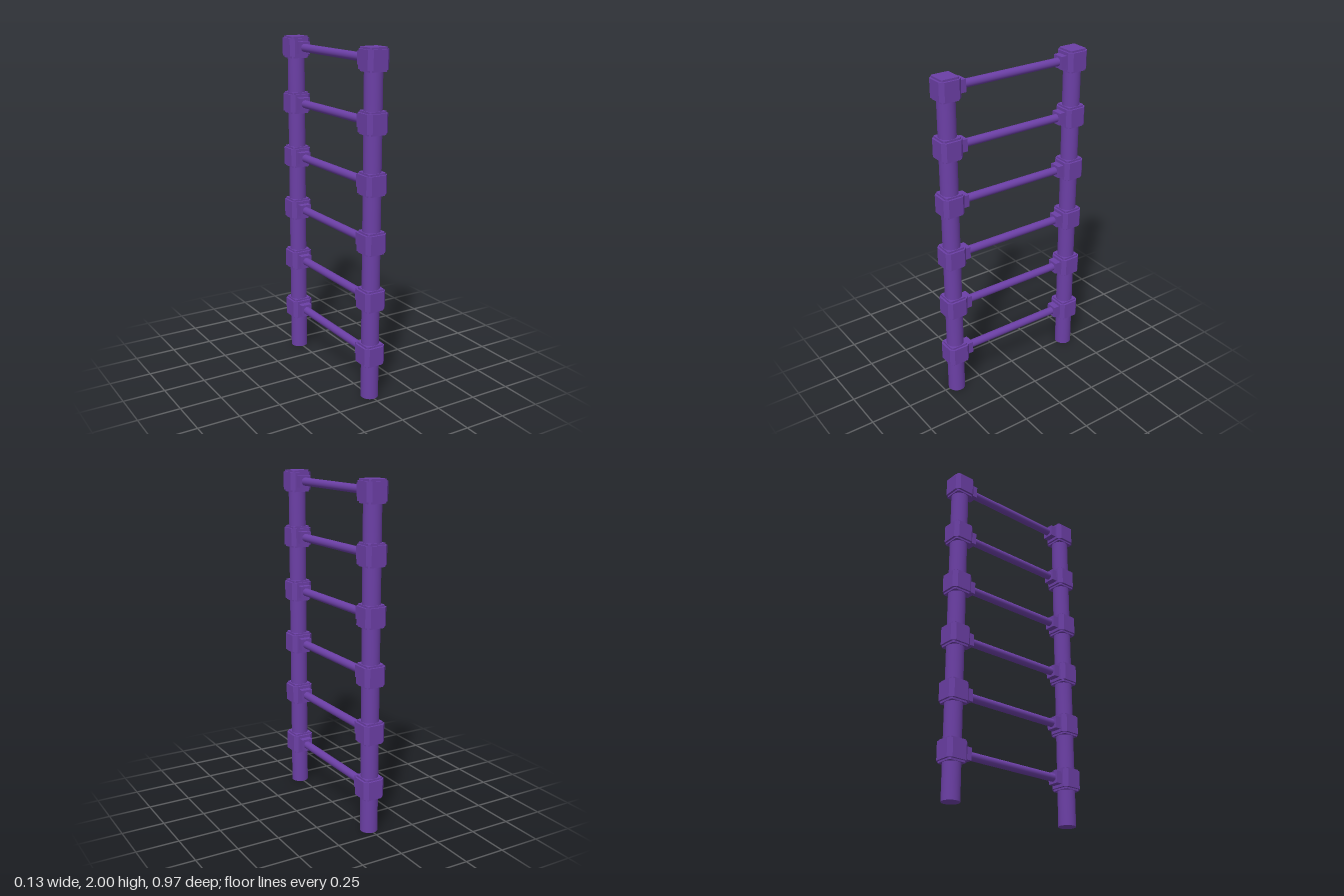
import * as THREE from 'three';

const POST_Z = 0.418;
const RUNGS = 6, FIRST_Y = 0.27, STEP = 0.3332;

// Square block with cut vertical corners, centred on the origin
function cutBlock(half, cut, height) {
  const h = half, c = half - cut;
  const shape = new THREE.Shape(
    [[h, -c], [h, c], [c, h], [-c, h], [-h, c], [-h, -c], [-c, -h], [c, -h]].map(p => new THREE.Vector2(...p))
  );
  const geo = new THREE.ExtrudeGeometry(shape, { depth: height, bevelEnabled: false });
  return geo.translate(0, 0, -height / 2).rotateX(-Math.PI / 2);
}

export function createModel() {
  const model = new THREE.Group();
  model.name = 'ladder';
  const purple = new THREE.MeshStandardMaterial({ color: 0x6b3fa5 });

  const add = (parent, name, geo, x = 0, y = 0, z = 0) => {
    const mesh = new THREE.Mesh(geo, purple);
    mesh.name = name;
    mesh.position.set(x, y, z);
    parent.add(mesh);
  };

  const postGeo = new THREE.CylinderGeometry(0.051, 0.051, 1.98, 32);
  const rungGeo = new THREE.CylinderGeometry(0.024, 0.024, 2 * POST_Z - 0.1, 24).rotateX(Math.PI / 2);
  const bodyGeo = cutBlock(0.067, 0.022, 0.106);
  const rimGeo = cutBlock(0.055, 0.008, 0.128);
  const socketGeo = new THREE.BoxGeometry(0.07, 0.072, 0.06);

  // Upright posts
  for (const side of [1, -1]) {
    add(model, side > 0 ? 'frontPost' : 'backPost', postGeo, 0, 0.99, side * POST_Z);
  }

  // Rungs, each held by a joint block on both posts
  for (let i = 0; i < RUNGS; i++) {
    const y = FIRST_Y + i * STEP;
    add(model, 'rung', rungGeo, 0, y, 0);
    for (const side of [1, -1]) {
      const joint = new THREE.Group();
      joint.name = side > 0 ? 'frontJoint' : 'backJoint';
      joint.position.set(0, y, side * POST_Z);
      add(joint, 'jointBody', bodyGeo);
      add(joint, 'jointRim', rimGeo);
      add(joint, 'rungSocket', socketGeo, 0, 0, -side * 0.075);
      model.add(joint);
    }
  }
  return model;
}
